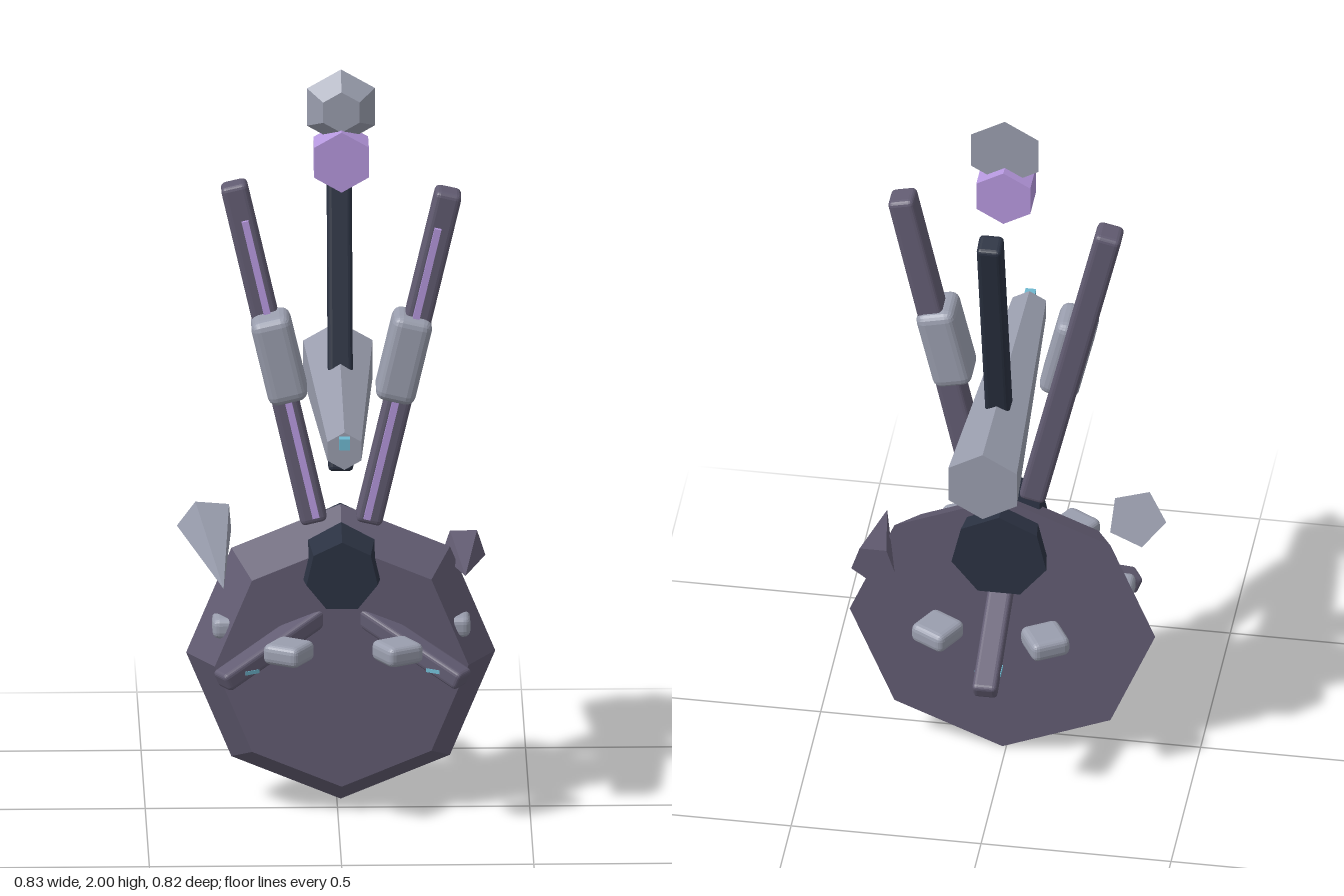
import * as THREE from 'three';
import { RoundedBoxGeometry } from 'three/addons/geometries/RoundedBoxGeometry.js';

const mat = (color) => new THREE.MeshStandardMaterial({ color, flatShading: true });
const plum = mat(0x625c72);
const slate = mat(0x2b3242);
const steel = mat(0x9a9eae);
const lilac = mat(0xb698de);
const cyan = mat(0x6fb8d0);

const UP = new THREE.Vector3(0, 1, 0);

export function createModel() {
  const model = new THREE.Group();
  // Core sits slightly off centre because the shards are uneven
  const core = new THREE.Group();
  core.name = 'core';
  core.position.set(0.01, 0, -0.015);
  model.add(core);

  function add(name, geometry, material, x, y, z, parent = core) {
    const mesh = new THREE.Mesh(geometry, material);
    mesh.name = name;
    mesh.position.set(x, y, z);
    parent.add(mesh);
    return mesh;
  }

  // Faceted prism along z with one corner straight up
  function prism(name, rFront, rBack, depth, sides, material, y, z) {
    const g = new THREE.CylinderGeometry(rFront, rBack, depth, sides);
    g.rotateY(Math.PI).rotateX(Math.PI / 2);
    return add(name, g, material, 0, y, z);
  }

  const rounded = (w, h, d, r) => new RoundedBoxGeometry(w, h, d, 2, r);

  // Group at the midpoint of two points, its y axis along them
  function span(name, a, b) {
    const group = new THREE.Group();
    const dir = b.clone().sub(a);
    group.name = name;
    group.position.copy(a).add(b).multiplyScalar(0.5);
    group.quaternion.setFromUnitVectors(UP, dir.clone().normalize());
    group.userData.length = dir.length();
    core.add(group);
    return group;
  }

  // Pyramid shard from base centre to tip
  function shard(name, base, tip, radius, sides, material) {
    const group = span(name, base, tip);
    const g = new THREE.ConeGeometry(radius, group.userData.length, sides);
    add(name + 'Body', g, material, 0, 0, 0, group);
  }

  const V = (x, y, z) => new THREE.Vector3(x, y, z);

  // Disc body, hub and long barrel
  prism('body', 0.33, 0.402, 0.125, 8, plum, 0.402, 0.003);
  prism('hub', 0.095, 0.128, 0.24, 7, slate, 0.66, 0);
  prism('barrel', 0.051, 0.104, 0.79, 6, steel, 1.092, 0);
  add('barrelTip', new THREE.BoxGeometry(0.028, 0.03, 0.03), cyan, 0, 1.117, 0.406);

  // Floating crystals on top
  prism('lowerCrystal', 0.082, 0.082, 0.095, 6, lilac, 1.77, 0.003);
  prism('upperCrystal', 0.055, 0.102, 0.05, 6, steel, 1.9, 0.005);

  // Leaning mast at the back
  const mast = span('mast', V(0, 0.895, -0.06), V(0, 1.79, -0.268));
  add('mastBar', rounded(0.065, mast.userData.length, 0.065, 0.012), slate, 0, 0, 0, mast);

  // Pair of rails with glowing strips and sleeves
  for (const s of [1, -1]) {
    const rail = span(s > 0 ? 'leftRail' : 'rightRail',
      V(s * 0.07, 0.78, 0.008), V(s * 0.28, 1.69, s * 0.037));
    add('railBar', rounded(0.07, rail.userData.length, 0.075, 0.014), plum, 0, 0, 0, rail);
    add('railStrip', new THREE.BoxGeometry(0.018, 0.82, 0.02), lilac, -s * 0.008, -0.04, 0.039, rail);
    const sleeve = add('sleeve', rounded(0.105, 0.235, 0.125, 0.025), steel, s * 0.162, 1.237, 0.033);
    sleeve.rotation.z = -s * 0.23;
  }

  // Three sloping arms around the hub
  for (let i = 0; i < 3; i++) {
    const arm = new THREE.Group();
    arm.name = 'arm';
    arm.rotation.y = Math.PI / 3 + i * Math.PI * 2 / 3;
    core.add(arm);
    add('armBar', rounded(0.065, 0.05, 0.41, 0.012), plum, 0, 0.482, 0.178, arm).rotation.x = 0.43;
    add('armLight', new THREE.BoxGeometry(0.069, 0.01, 0.04), cyan, 0, 0.42, 0.29, arm);
  }

  // Ring of six pads
  for (let i = 0; i < 6; i++) {
    const a = Math.PI / 6 + i * Math.PI / 3;
    const pad = add('pad', rounded(0.105, 0.055, 0.105, 0.018), steel,
      Math.sin(a) * 0.283, 0.497, Math.cos(a) * 0.283);
    pad.rotation.y = a;
  }

  // Loose shards at both sides
  shard('lightShard', V(-0.35, 0.767, -0.04), V(-0.31, 0.655, 0.195), 0.078, 5, steel);
  shard('darkShard', V(0.322, 0.643, -0.18), V(0.322, 0.643, 0.06), 0.06, 5, plum);

  return model;
}
